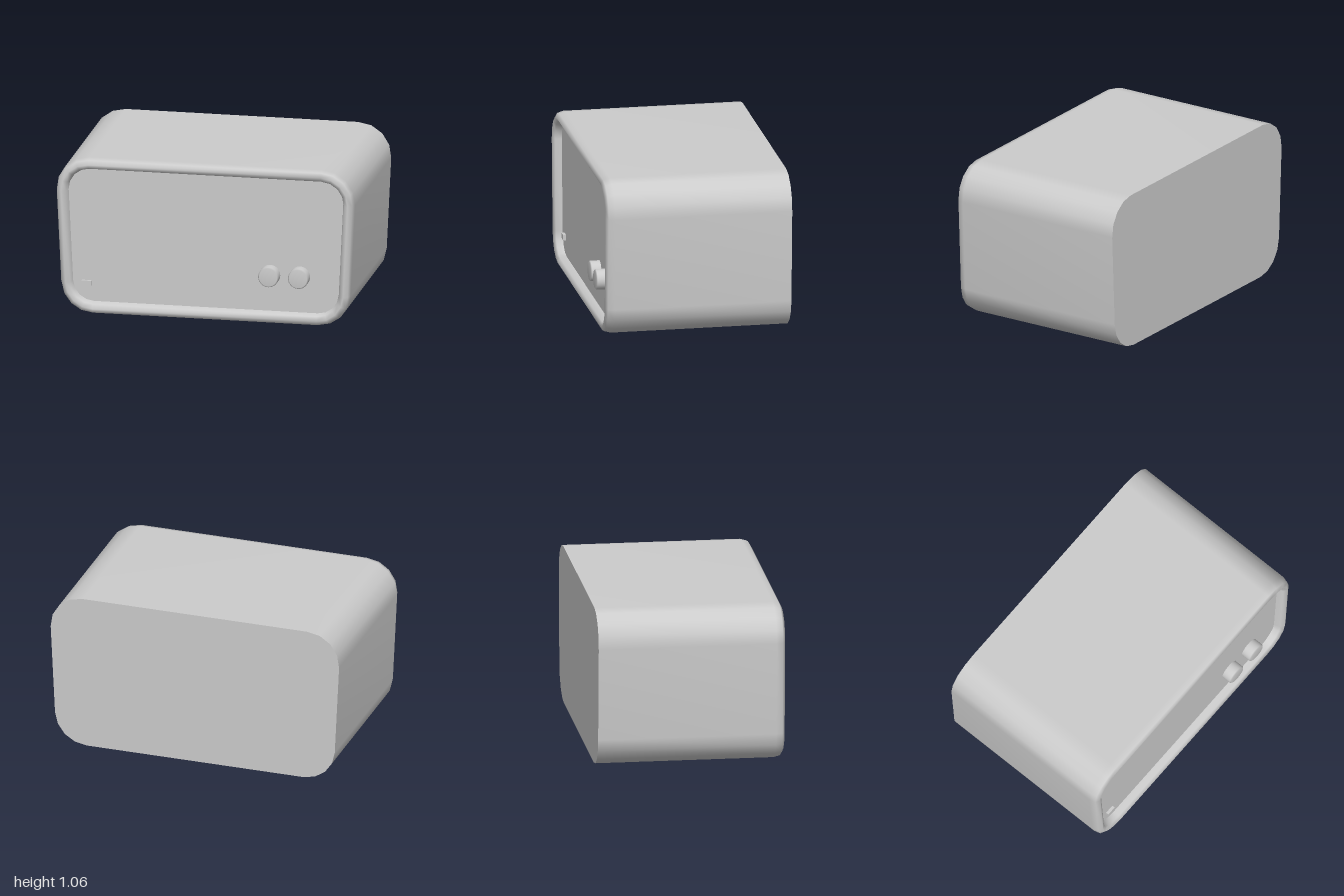
import * as THREE from 'three';

const BACK = -0.625, PANEL = 0.555, RIM_W = 0.04, RIM_H = 0.06;
const RADIUS = 0.22, TILT = -0.048, STEPS = 4;

// Rounded outline, slightly wider at the top, counterclockwise from the front
function outline(inset) {
  const half = [];
  const arc = (cx, cy, from, to) => {
    for (let i = 0; i <= STEPS; i++) {
      const a = from + (to - from) * i / STEPS;
      half.push(new THREE.Vector2(cx + (RADIUS - inset) * Math.cos(a), cy + (RADIUS - inset) * Math.sin(a)));
    }
  };
  arc(0.75, 0.22, -Math.PI / 2, TILT);
  arc(0.78, 0.84, TILT, Math.PI / 2);
  const mirrored = half.map(p => new THREE.Vector2(-p.x, p.y)).reverse();
  return [...half, ...mirrored];
}

// Joins outline rings, given as [inset, z], into a smooth skin
function loft(rings) {
  const pos = [], index = [];
  let n = 0;
  rings.forEach(([inset, z], k) => {
    const pts = outline(inset);
    n = pts.length;
    pts.forEach(p => pos.push(p.x, p.y, z));
    if (k === 0) return;
    for (let i = 0; i < n; i++) {
      const j = (i + 1) % n, a = (k - 1) * n, b = k * n;
      index.push(a + i, a + j, b + j, a + i, b + j, b + i);
    }
  });
  const geo = new THREE.BufferGeometry();
  geo.setAttribute('position', new THREE.Float32BufferAttribute(pos, 3));
  geo.setIndex(index);
  geo.computeVertexNormals();
  return geo;
}

export function createModel() {
  const group = new THREE.Group();
  const material = new THREE.MeshStandardMaterial({ color: 0xcccccc });
  const add = (name, geo, x = 0, y = 0, z = 0) => {
    const mesh = new THREE.Mesh(geo, material);
    mesh.name = name;
    mesh.position.set(x, y, z);
    group.add(mesh);
    return mesh;
  };

  // Casing with a rolled rim that dips back to the front panel
  const rings = [[0, BACK]];
  for (let i = 0; i <= 4; i++) {
    const a = Math.PI * i / 4;
    rings.push([RIM_W * (1 - Math.cos(a)), PANEL + RIM_H * Math.sin(a)]);
  }
  add('casing', loft(rings));

  // Flat front and back; the outline is symmetric, so the back is turned round
  add('frontPanel', new THREE.ShapeGeometry(new THREE.Shape(outline(2 * RIM_W))), 0, 0, PANEL);
  add('backPanel', new THREE.ShapeGeometry(new THREE.Shape(outline(0))), 0, 0, BACK).rotation.y = Math.PI;

  // Two control knobs with a chamfered edge
  const knobProfile = [[0.068, 0], [0.068, 0.062], [0.06, 0.07], [0, 0.07]];
  const knob = new THREE.LatheGeometry(knobProfile.map(p => new THREE.Vector2(...p)), 32);
  knob.rotateX(Math.PI / 2);
  for (const [name, x] of [['rightKnob', 0.43], ['leftKnob', 0.63]]) add(name, knob, x, 0.325, PANEL);

  // Small indicator
  add('indicator', new THREE.BoxGeometry(0.065, 0.035, 0.04), -0.797, 0.203, PANEL);

  return group;
}
